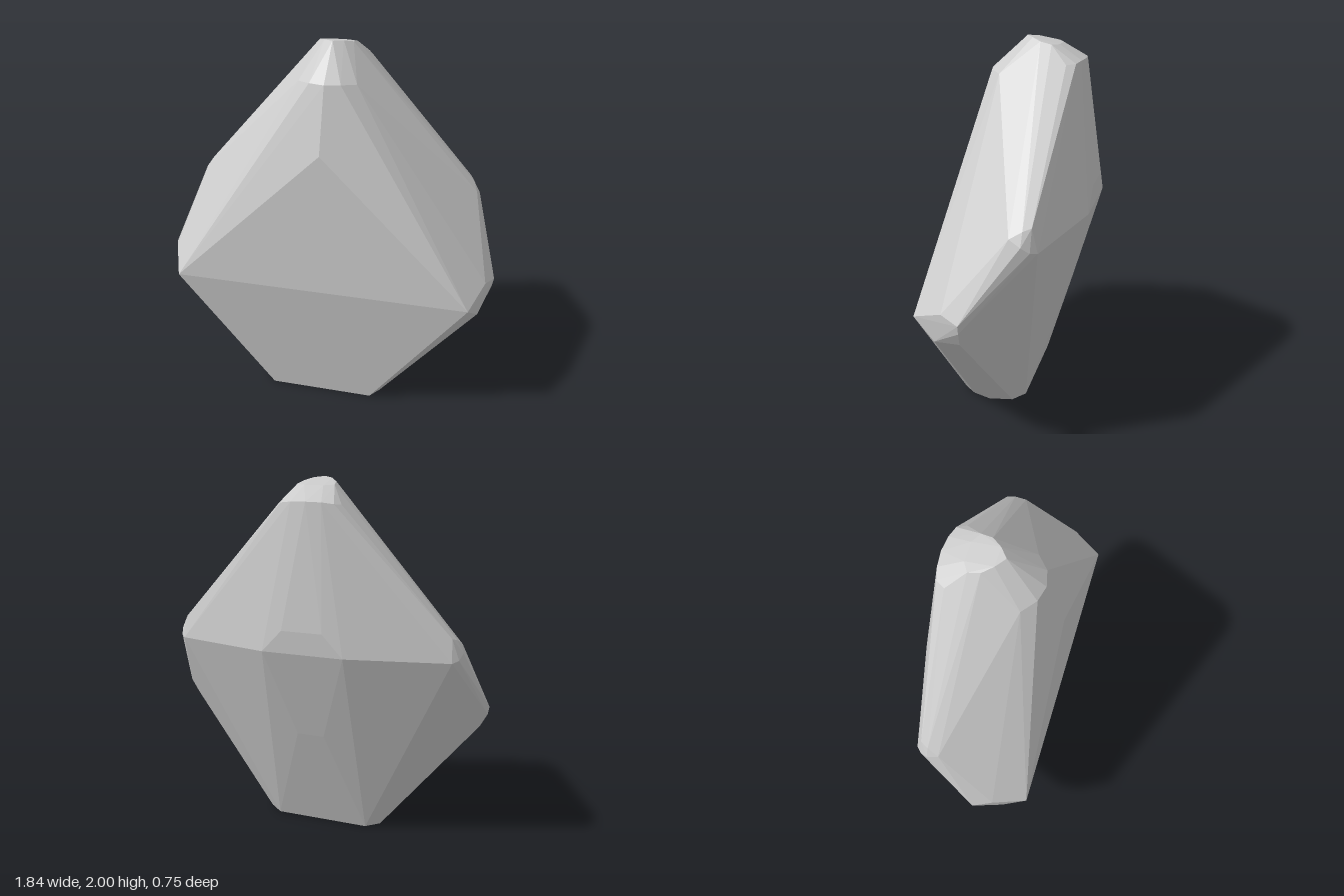
import * as THREE from 'three';
import { ConvexGeometry } from 'three/addons/geometries/ConvexGeometry.js';

// Faceted stone: corner points of the +x half, mirrored and wrapped in a convex skin
const base = [
  [0.29, 0, 0.305], [0.34, 0, 0.24], [0.37, 0, 0.14], [0.345, 0, 0.01], [0.27, 0, -0.05],
];
const sideCorner = [
  [0.8, 0.735, 0.375], [0.875, 0.81, 0.2], [0.92, 0.785, 0.1],
  [0.913, 0.74, 0.1], [0.875, 0.66, 0.11], [0.85, 0.642, 0.25],
];
const shoulder = [
  [0.78, 1.19, -0.11], [0.795, 1.16, -0.17], [0.78, 1.13, -0.21], [0.75, 1.12, -0.24],
  [0.76, 1.225, -0.17], [0.74, 1.24, -0.21],
];
const backRidge = [
  [0.22, 1.13, -0.375], [0.11, 1.25, -0.375], [0.075, 0.63, -0.243],
];
const crown = [
  [0, 1.5, 0.31], [0, 1.83, 0.2], [0.08, 1.83, 0.18], [0.15, 1.82, 0.12],
  [0, 2, 0.01], [0.05, 1.995, -0.03], [0.09, 1.98, -0.08], [0.1, 1.968, -0.14], [0.05, 1.965, -0.17],
  [0, 1.895, -0.3], [0.08, 1.893, -0.292], [0.14, 1.885, -0.275], [0.165, 1.88, -0.23],
];

export function createModel() {
  const points = [];
  for (const [x, y, z] of [...base, ...sideCorner, ...shoulder, ...backRidge, ...crown]) {
    points.push(new THREE.Vector3(x, y, z));
    if (x > 0) points.push(new THREE.Vector3(-x, y, z));
  }
  const stone = new THREE.Mesh(
    new ConvexGeometry(points),
    new THREE.MeshStandardMaterial({ color: 0xcccccc, flatShading: true }),
  );
  stone.name = 'facetedStone';

  const group = new THREE.Group();
  group.name = 'stone';
  group.add(stone);
  return group;
}
